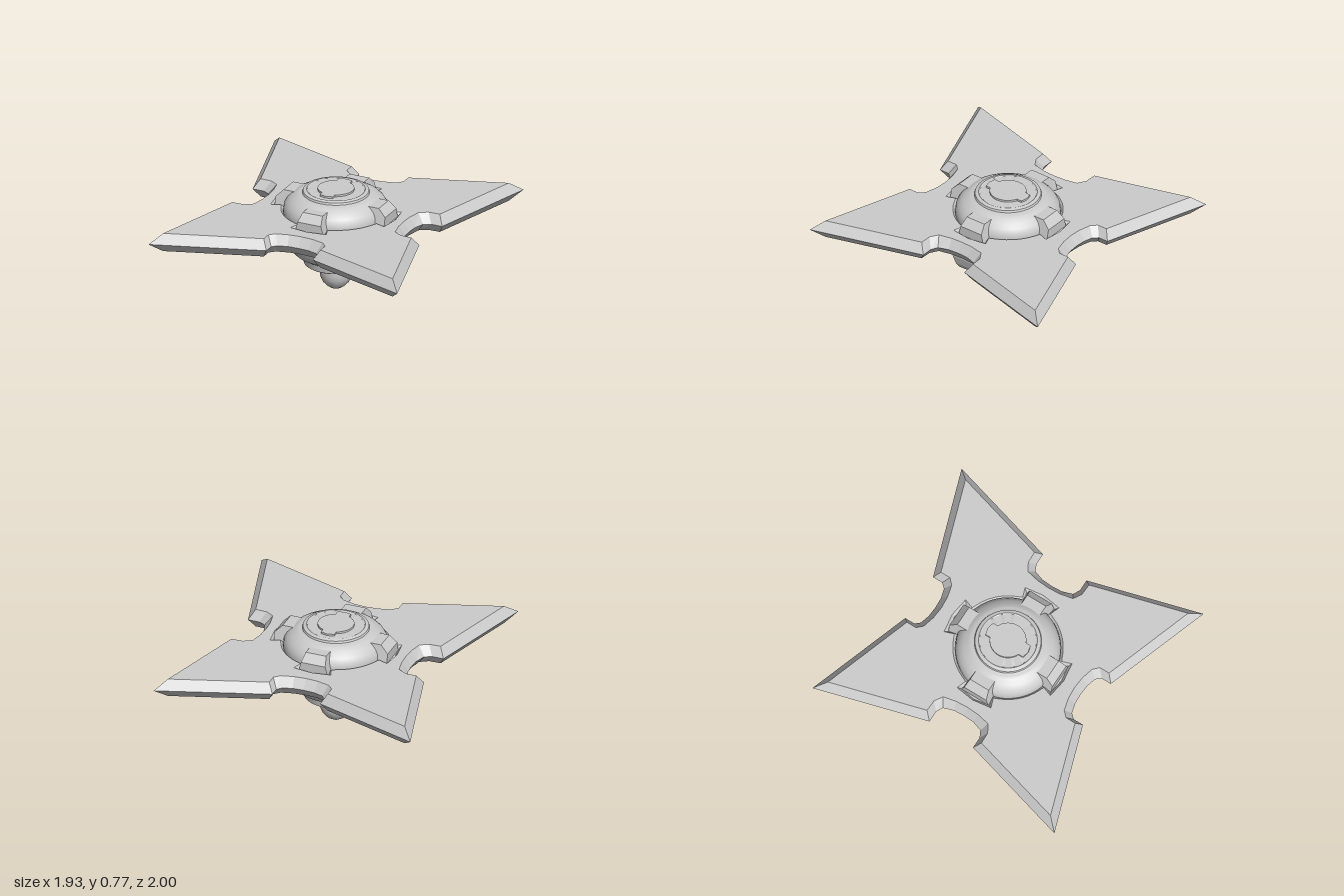
import * as THREE from 'three';
import { mergeGeometries, toCreasedNormals } from 'three/addons/utils/BufferGeometryUtils.js';

const material = new THREE.MeshStandardMaterial({ color: 0xcccccc });
const vec = ([x, y]) => new THREE.Vector2(x, y);

function mesh(name, geometry) {
  const m = new THREE.Mesh(geometry, material);
  m.name = name;
  return m;
}

// Turned part: profile of [radius, height] from bottom to top
function turned(name, profile) {
  const g = new THREE.LatheGeometry(profile.map(vec), 64);
  return mesh(name, toCreasedNormals(g, 0.5));
}

// Mirrors a quarter outline (from +x axis to +y axis) into a closed loop
function fourfold(quarter) {
  const mirrored = quarter.slice(0, -1).reverse().map(([x, y]) => [-x, y]);
  const half = [...quarter, ...mirrored].slice(0, -1);
  return [...half, ...half.map(([x, y]) => [-x, -y])];
}

// Wall of quads between two loops of equal length
function wall(a, ha, b, hb) {
  const pos = [];
  a.forEach((p, i) => {
    const j = (i + 1) % a.length;
    const a0 = [...p, ha], a1 = [...a[j], ha], b0 = [...b[i], hb], b1 = [...b[j], hb];
    pos.push(...a0, ...a1, ...b1, ...a0, ...b1, ...b0);
  });
  const g = new THREE.BufferGeometry();
  g.setAttribute('position', new THREE.Float32BufferAttribute(pos, 3));
  g.computeVertexNormals();
  return g;
}

function face(loop, height, hole) {
  const s = new THREE.Shape(loop.map(vec));
  if (hole) s.holes.push(new THREE.Path(hole.map(vec)));
  const g = new THREE.ShapeGeometry(s).toNonIndexed();
  g.deleteAttribute('uv');
  return g.translate(0, 0, height);
}

// Round recess with four flared pockets for the clamps
function recessLoop(inset) {
  const loop = [];
  for (let k = 0; k < 4; k++) {
    const t = k * Math.PI / 2, c = Math.cos(t), s = Math.sin(t);
    const w = inset * 1.3;
    [[0.37 - inset, -0.115 + w], [0.44 - inset, -0.14 + w], [0.46 - inset, 0],
      [0.44 - inset, 0.14 - w], [0.37 - inset, 0.115 - w]]
      .forEach(([r, o]) => loop.push([r * c - o * s, r * s + o * c]));
    for (let i = 1; i < 9; i++) {
      const a = t + THREE.MathUtils.degToRad(17 + 56 * i / 9);
      loop.push([(0.385 - inset) * Math.cos(a), (0.385 - inset) * Math.sin(a)]);
    }
  }
  return loop;
}

// Four-pointed blade with bevelled cutting edges
function blade() {
  const edge = fourfold([[0.57, 0], [0.575, 0.08], [0.6, 0.155], [0.65, 0.18], [0.735, 0.18],
    [0.965, 1], [0.18, 0.735], [0.18, 0.66], [0.15, 0.625], [0.08, 0.605], [0, 0.6]]);
  const flat = fourfold([[0.525, 0], [0.53, 0.09], [0.55, 0.185], [0.61, 0.222], [0.695, 0.225],
    [0.89, 0.92], [0.22, 0.695], [0.22, 0.62], [0.18, 0.58], [0.09, 0.557], [0, 0.55]]);
  const outer = recessLoop(0), inner = recessLoop(0.018);
  const g = mergeGeometries([
    wall(flat, 0.475, edge, 0.542),
    wall(edge, 0.542, flat, 0.61),
    face(flat, 0.61, outer),
    face(flat, 0).rotateX(Math.PI).translate(0, 0, 0.475),
    wall([...outer].reverse(), 0.61, [...inner].reverse(), 0.585).scale(1, 1, 1),
    face(inner, 0.585),
  ]);
  // The recess wall is wound from top to bottom, so flip it to face the centre
  const start = (edge.length * 2) * 6 + face(flat, 0, outer).attributes.position.count
    + face(flat, 0).attributes.position.count;
  const p = g.attributes.position, v1 = new THREE.Vector3(), v2 = new THREE.Vector3();
  for (let i = start; i < start + outer.length * 6; i += 3) {
    v1.fromBufferAttribute(p, i + 1);
    v2.fromBufferAttribute(p, i + 2);
    p.setXYZ(i + 1, v2.x, v2.y, v2.z);
    p.setXYZ(i + 2, v1.x, v1.y, v1.z);
  }
  g.computeVertexNormals();
  return mesh('blade', g.rotateX(-Math.PI / 2));
}

// Clamp block: side profile of [radius, height], half width set by height
function clamp(name, profile, halfWidth, angle) {
  const g = new THREE.ExtrudeGeometry(new THREE.Shape(profile.map(vec)),
    { depth: 2, bevelEnabled: false }).translate(0, 0, -1);
  const p = g.attributes.position;
  for (let i = 0; i < p.count; i++) p.setZ(i, p.getZ(i) * halfWidth(p.getY(i)));
  g.computeVertexNormals();
  return mesh(name, g.rotateY(angle));
}

// Round cap plate with a key tab at front and back
function capPlate() {
  const pts = [], start = Math.atan2(0.118, 0.05);
  for (const side of [1, -1]) {
    for (let i = 0; i <= 20; i++) {
      const a = -start + 2 * start * i / 20;
      pts.push([side * 0.128 * Math.cos(a), side * 0.128 * Math.sin(a)]);
    }
    pts.push([side * 0.05, side * 0.155], [0, side * 0.167], [-side * 0.05, side * 0.155]);
  }
  const g = new THREE.ExtrudeGeometry(new THREE.Shape(pts.map(vec)), { depth: 0.015, bevelEnabled: false });
  return mesh('capPlate', g.rotateX(-Math.PI / 2).translate(0, 0.752, 0));
}

export function createModel() {
  const model = new THREE.Group();
  model.name = 'spinningTop';
  model.add(blade());

  // Upper hub
  model.add(turned('upperDome', [[0.368, 0.56], [0.368, 0.61], [0.362, 0.64], [0.345, 0.67],
    [0.315, 0.7], [0.275, 0.722], [0.255, 0.73], [0.25, 0.73], [0.235, 0.735], [0.23, 0.75],
    [0.205, 0.757], [0.198, 0.753], [0, 0.753]]));
  model.add(capPlate());

  // Lower hub and tip
  model.add(turned('flange', [[0, 0.442], [0.455, 0.442], [0.46, 0.457], [0.478, 0.457],
    [0.478, 0.475], [0, 0.475]]));
  model.add(turned('lowerBowl', [[0, 0.265], [0.25, 0.265], [0.29, 0.29], [0.32, 0.325],
    [0.34, 0.37], [0.348, 0.41], [0.35, 0.445]]));
  model.add(turned('lowerDrum', [[0, 0.2], [0.212, 0.2], [0.225, 0.208], [0.235, 0.27]]));
  model.add(turned('neck', [[0.105, 0.17], [0.105, 0.205]]));
  model.add(turned('tip', [[0, 0], [0.035, 0.012], [0.07, 0.035], [0.095, 0.064], [0.11, 0.1],
    [0.115, 0.135], [0.114, 0.177], [0, 0.177]]));

  // Clamps: four above, two below at the sides
  for (let k = 0; k < 4; k++) {
    model.add(clamp('upperClamp', [[0.27, 0.57], [0.425, 0.57], [0.425, 0.655], [0.37, 0.71], [0.27, 0.71]],
      (y) => 0.102 - 0.025 * (y - 0.61) / 0.1, k * Math.PI / 2));
  }
  for (const angle of [0, Math.PI]) {
    model.add(clamp('lowerClamp', [[0.23, 0.268], [0.37, 0.268], [0.405, 0.295], [0.436, 0.34],
      [0.452, 0.4], [0.455, 0.445], [0.23, 0.445]],
      (y) => 0.11 + 0.037 * (y - 0.268) / 0.177, angle));
  }
  return model;
}
